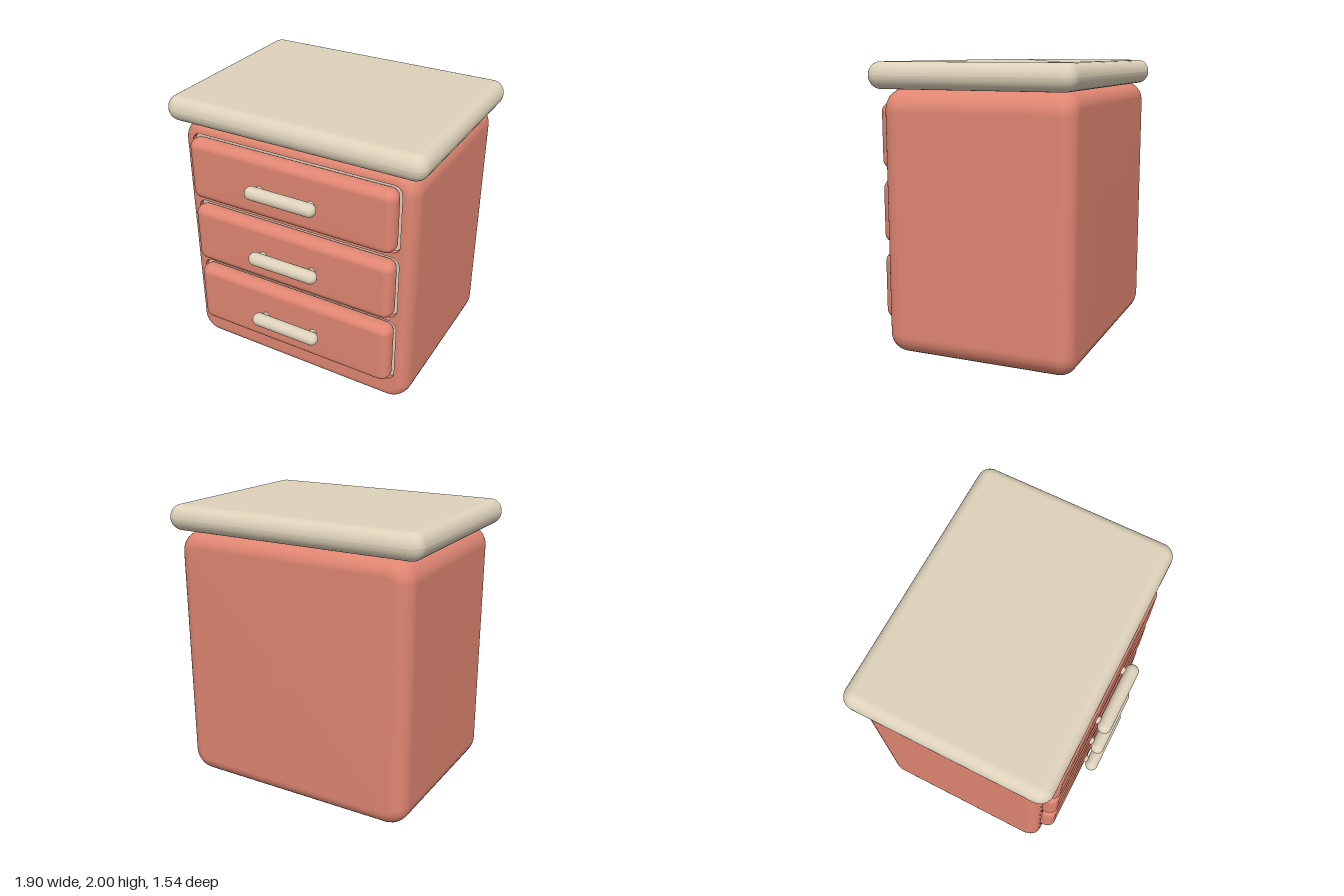
import * as THREE from 'three';

const red = new THREE.MeshStandardMaterial({ color: 0xe08672 });
const cream = new THREE.MeshStandardMaterial({ color: 0xded2ba });

// Points of a rounded rectangle, counter-clockwise
function roundedRect(w, h, r, inset = 0, steps = 8) {
  const x = w / 2 - inset, y = h / 2 - inset, q = Math.max(r - inset, 0.006);
  const points = [];
  [[1, 1], [-1, 1], [-1, -1], [1, -1]].forEach(([sx, sy], c) => {
    for (let i = 0; i <= steps; i++) {
      const a = (c + i / steps) * Math.PI / 2;
      points.push(new THREE.Vector2(sx * (x - q) + q * Math.cos(a), sy * (y - q) + q * Math.sin(a)));
    }
  });
  return points;
}

// Cushion along z: back and front edges are rounded by [inset, depth]; dome lifts the cap centres
function cushion(w, h, r, z0, z1, back, front, dome = 0, capFront = true) {
  const stations = [], steps = 8;
  for (let i = 0; i <= steps; i++) {
    const a = i / steps * Math.PI / 2;
    stations.push([z0 + back[1] * (1 - Math.sin(a)), back[0] * (1 - Math.cos(a))]);
  }
  stations.reverse().sort((a, b) => a[0] - b[0]);
  // sorted from the flat back cap to the full section
  for (let i = 0; i <= steps; i++) {
    const a = i / steps * Math.PI / 2;
    const t = [z0 + back[1] * (1 - Math.cos(a)), back[0] * (1 - Math.sin(a))];
    stations[i] = t;
  }
  for (let i = 0; i <= steps; i++) {
    const a = i / steps * Math.PI / 2;
    stations.push([z1 - front[1] * (1 - Math.sin(a)), front[0] * (1 - Math.cos(a))]);
  }
  const pos = [], index = [];
  let n = 0;
  for (const [z, inset] of stations) {
    const ring = roundedRect(w, h, r, inset);
    n = ring.length;
    ring.forEach(p => pos.push(p.x, p.y, z));
  }
  const last = (stations.length - 1) * n, centre = stations.length * n;
  pos.push(0, 0, z0 - dome, 0, 0, z1 + dome);
  for (let i = 0; i < n; i++) {
    const j = (i + 1) % n;
    for (let k = 0; k < last; k += n) {
      index.push(k + i, k + j, k + n + i, k + j, k + n + j, k + n + i);
    }
    index.push(centre, j, i);
    if (capFront) index.push(centre + 1, last + i, last + j);
  }
  const g = new THREE.BufferGeometry();
  g.setAttribute('position', new THREE.Float32BufferAttribute(pos, 3));
  g.setIndex(index);
  g.computeVertexNormals();
  return g;
}

function add(parent, name, geometry, material, x = 0, y = 0, z = 0) {
  const mesh = new THREE.Mesh(geometry, material);
  mesh.name = name;
  mesh.position.set(x, y, z);
  parent.add(mesh);
  return mesh;
}

export function createModel() {
  const model = new THREE.Group();
  model.name = 'chestOfDrawers';

  // Cabinet shell, left open at the front for the face frame
  const W = 1.76, H = 1.81, midY = 0.91, faceZ = 0.57, edge = 0.075;
  add(model, 'cabinet', cushion(W, H, 0.15, -0.745, faceZ, [0.11, 0.11], [edge, 0.11], 0.003, false), red, 0, midY, 0);

  // Drawers: opening bottom and top, handle height
  const drawers = [[0.2, 0.705, 0.453], [0.74, 1.215, 0.976], [1.25, 1.735, 1.492]];

  // Face frame with three rounded openings
  const frame = new THREE.Shape(roundedRect(W, H, 0.15, edge));
  for (const [y0, y1] of drawers) {
    const hole = roundedRect(1.57, y1 - y0, 0.06).map(p => new THREE.Vector2(p.x, p.y + (y0 + y1) / 2 - midY));
    frame.holes.push(new THREE.Path(hole.reverse()));
  }
  add(model, 'faceFrame', new THREE.ExtrudeGeometry(frame, { depth: 0.07, bevelEnabled: false }), red, 0, midY, faceZ - 0.07);

  drawers.forEach(([y0, y1, handleY]) => {
    const drawer = new THREE.Group();
    drawer.name = 'drawer';
    model.add(drawer);
    const h = y1 - y0, y = (y0 + y1) / 2;

    // Pale drawer box behind the cushioned front
    add(drawer, 'drawerBox', new THREE.BoxGeometry(1.58, h + 0.01, 0.06), cream, 0, y, 0.505);
    add(drawer, 'drawerFront', cushion(1.545, h - 0.032, 0.065, 0.53, 0.657, [0.05, 0.05], [0.06, 0.065], 0.003), red, -0.003, y, 0);

    // Bar handle on two posts
    const bar = new THREE.CapsuleGeometry(0.047, 0.436, 10, 24);
    bar.rotateZ(Math.PI / 2);
    add(drawer, 'handleBar', bar, cream, 0, handleY, 0.723);
    for (const x of [-0.195, 0.195]) {
      const post = new THREE.CylinderGeometry(0.027, 0.027, 0.1, 20);
      post.rotateX(Math.PI / 2);
      add(drawer, 'handlePost', post, cream, x, handleY, 0.67);
    }
  });

  // Overhanging top slab
  const top = cushion(1.9, 1.425, 0.09, 1.812, 1.988, [0.08, 0.088], [0.08, 0.088], 0.012);
  top.rotateX(-Math.PI / 2);
  add(model, 'topSlab', top, cream, 0, 0, -0.0575);

  return model;
}
